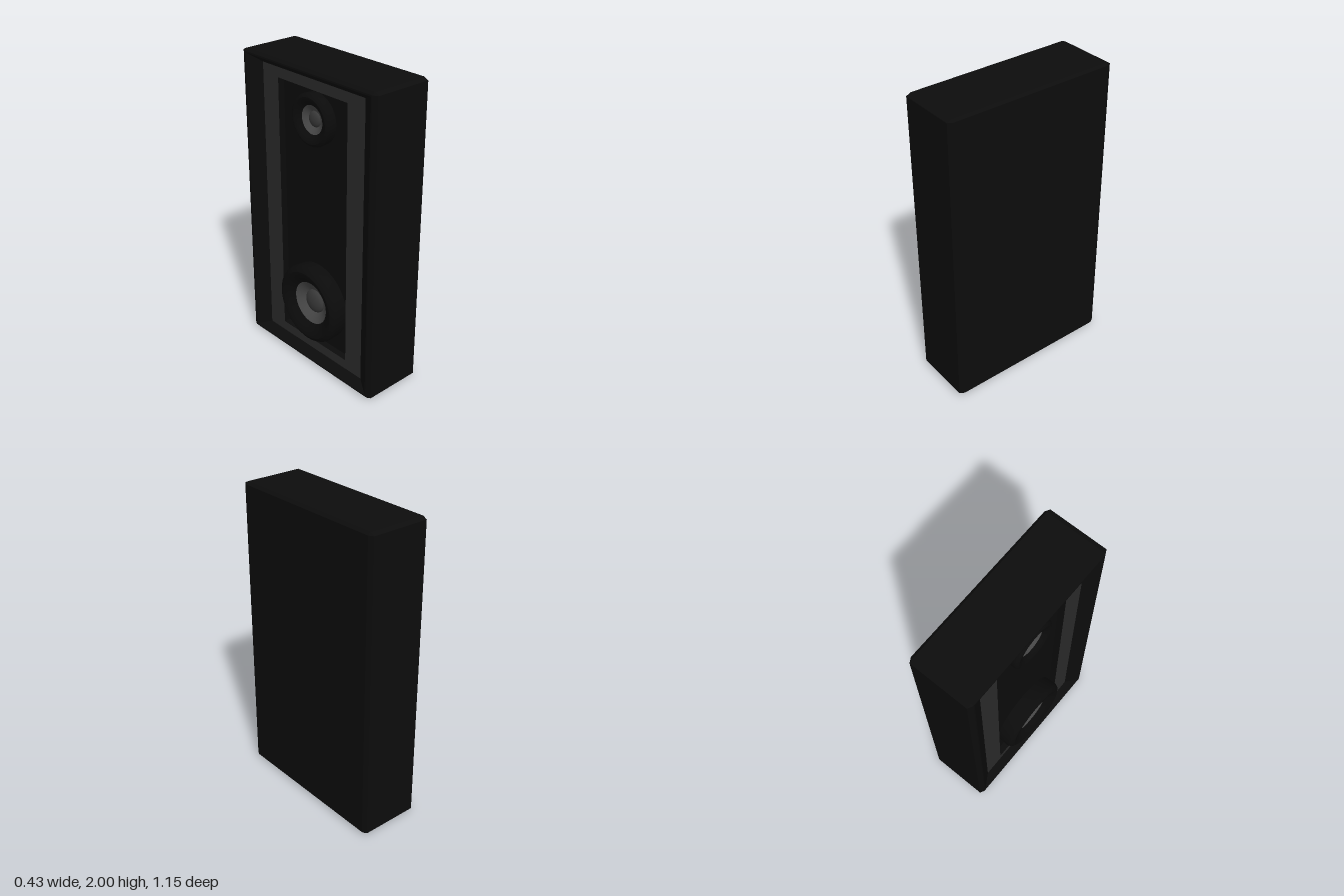
import * as THREE from 'three';

const mat = (color, flatShading = false) => new THREE.MeshStandardMaterial({ color, flatShading });

// Skins rings of eight points; each ring is [x, halfHeight, halfDepth, cornerY, cornerZ], ordered +x to -x
function loft(name, rings, color) {
  const loops = rings.map(([x, h, d, cy = 0, cz = 0]) => [
    [-(h - cy), -d], [h - cy, -d], [h, -(d - cz)], [h, d - cz],
    [h - cy, d], [-(h - cy), d], [-h, d - cz], [-h, -(d - cz)],
  ].map(([y, z]) => [x, y + 1, z]));
  const pos = [];
  for (let i = 0; i < loops.length - 1; i++) {
    for (let j = 0; j < 8; j++) {
      const k = (j + 1) % 8;
      const a = loops[i], b = loops[i + 1];
      pos.push(...a[j], ...b[j], ...a[k], ...a[k], ...b[j], ...b[k]);
    }
  }
  const geo = new THREE.BufferGeometry();
  geo.setAttribute('position', new THREE.Float32BufferAttribute(pos, 3));
  geo.computeVertexNormals();
  const mesh = new THREE.Mesh(geo, mat(color, true));
  mesh.name = name;
  return mesh;
}

function turned(name, profile, color) {
  const geo = new THREE.LatheGeometry(profile.map(([r, y]) => new THREE.Vector2(r, y)), 40);
  const mesh = new THREE.Mesh(geo, mat(color));
  mesh.name = name;
  return mesh;
}

// Loudspeaker driver facing -x, standing on the recessed panel
function driver(name, y, size) {
  const g = new THREE.Group();
  g.name = name;
  g.add(
    turned('driverHousing', [[0.26, 0], [0.265, 0.08], [0.255, 0.1], [0.23, 0.115]], 0x0b0b0b),
    turned('driverSurround', [[0.23, 0.115], [0.205, 0.112], [0.18, 0.095], [0.145, 0.07]], 0x0b0b0b),
    turned('driverCone', [[0.145, 0.07], [0.11, 0.05], [0.08, 0.03]], 0x484848),
  );
  const dome = [];
  for (let i = 0; i <= 8; i++) {
    const t = (i / 8) * Math.PI / 2;
    dome.push([0.08 * Math.cos(t), 0.03 + 0.035 * Math.sin(t)]);
  }
  g.add(turned('dustCap', dome, 0x383838));
  g.rotation.z = Math.PI / 2;
  g.position.set(-0.1, y, 0);
  g.scale.setScalar(size);
  return g;
}

export function createModel() {
  const model = new THREE.Group();
  model.name = 'speaker';

  // Bevelled cabinet with a sloping recess on its -x face
  model.add(loft('cabinet', [
    [0.215, 0, 0],
    [0.215, 0.985, 0.545],
    [0.198, 1, 0.575, 0.015, 0.03],
    [-0.184, 1, 0.575, 0.015, 0.03],
    [-0.2, 0.985, 0.545],
    [-0.2, 0.975, 0.535],
    [-0.145, 0.93, 0.44],
  ], 0x0c0c0c));

  // Grey border, then the deeper panel that carries the drivers
  model.add(loft('baffleBorder', [[-0.145, 0.93, 0.44], [-0.145, 0.865, 0.3]], 0x2a2a2a));
  model.add(loft('driverPanel', [[-0.145, 0.865, 0.3], [-0.1, 0.865, 0.3], [-0.1, 0, 0]], 0x0b0b0b));

  model.add(driver('woofer', 0.435, 1));
  model.add(driver('tweeter', 1.68, 0.62));
  return model;
}
